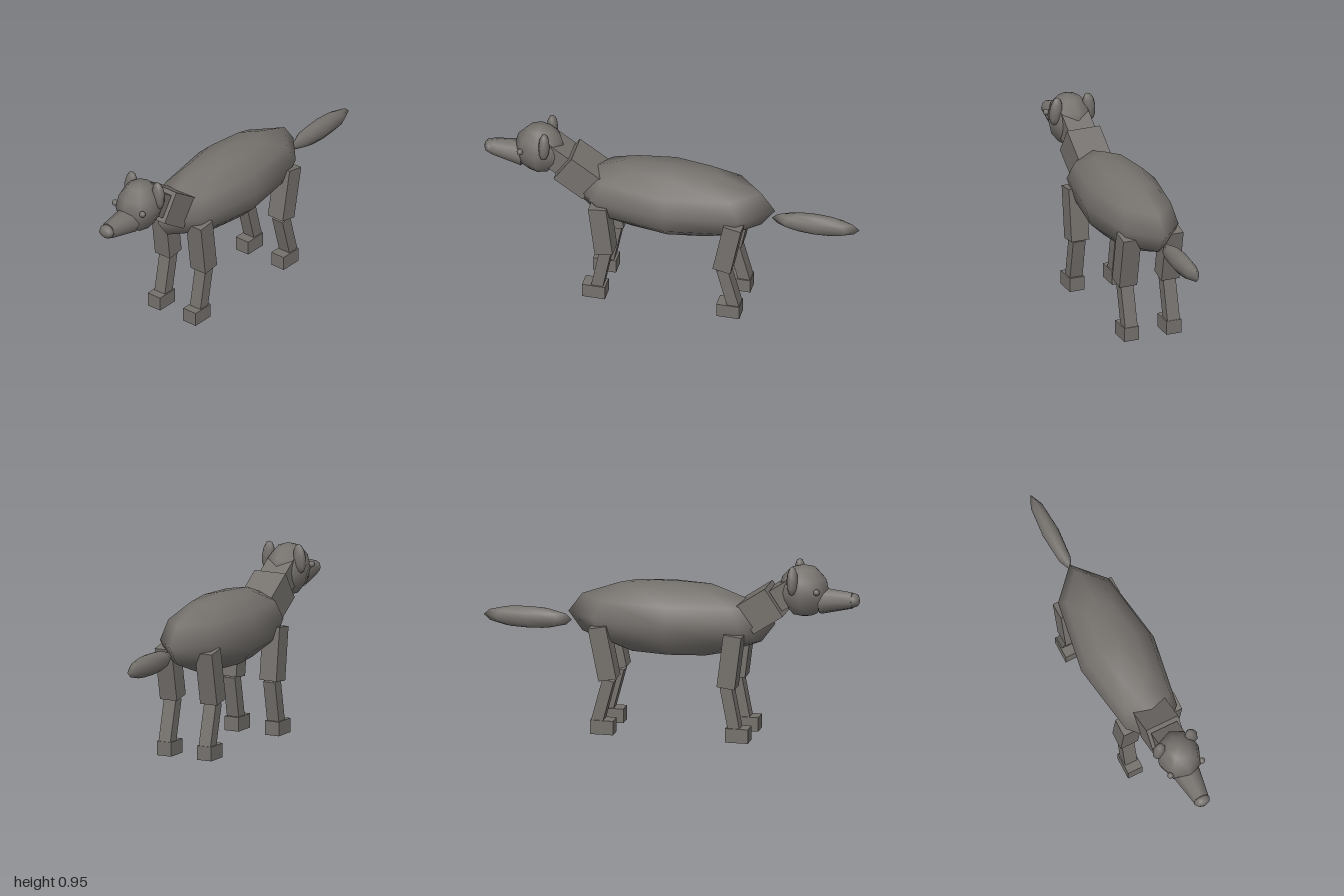
import * as THREE from 'three';

export function createModel() {
  const group = new THREE.Group();
  const fur = new THREE.MeshStandardMaterial({ color: 0x75716d });
  fur.name = 'greyFur';

  const add = (name, geometry, x, y, z, tiltX = 0, tiltZ = 0) => {
    const mesh = new THREE.Mesh(geometry, fur);
    mesh.name = name;
    mesh.position.set(x, y, z);
    mesh.rotation.set(tiltX, 0, tiltZ);
    group.add(mesh);
    return mesh;
  };
  // Coarse ellipsoid with smooth normals
  const blob = (rx, ry, rz) => new THREE.SphereGeometry(1, 8, 6).scale(rx, ry, rz);
  const box = (w, h, d) => new THREE.BoxGeometry(w, h, d);

  // Trunk and tail
  add('body', blob(0.21, 0.2, 0.55), 0, 0.61, 0);
  add('tail', blob(0.045, 0.058, 0.234), 0, 0.563, -0.766);

  // Neck: two boxes leaning forward
  add('lowerNeck', box(0.184, 0.186, 0.172), 0, 0.695, 0.484, 0.98);
  add('upperNeck', box(0.15, 0.12, 0.125), 0, 0.785, 0.617, 0.98);

  // Head, tapered snout and nose
  add('head', blob(0.115, 0.14, 0.134), 0, 0.8, 0.703);
  const snout = new THREE.CylinderGeometry(0.043, 0.072, 0.17, 8);
  add('snout', snout, 0, 0.756, 0.875, Math.PI / 2 - 0.06);
  add('nose', blob(0.045, 0.036, 0.032), 0, 0.762, 0.968);

  for (const side of [1, -1]) {
    const label = side > 0 ? 'left' : 'right';
    // Ears and eyes
    add(label + 'Ear', blob(0.036, 0.077, 0.03), side * 0.093, 0.871, 0.66, 0, side * 0.13);
    add(label + 'Eye', blob(0.017, 0.017, 0.017), side * 0.092, 0.817, 0.789);

    // Legs: thigh, shin and foot
    const x = side * 0.119;
    add(label + 'FrontThigh', box(0.1, 0.284, 0.096), x, 0.433, 0.341, 0.125);
    add(label + 'FrontShin', box(0.07, 0.235, 0.062), x, 0.178, 0.342, -0.19);
    add(label + 'FrontFoot', box(0.083, 0.075, 0.122), x, 0.0375, 0.379);
    add(label + 'RearThigh', box(0.1, 0.284, 0.096), x, 0.436, -0.333, -0.2);
    add(label + 'RearShin', box(0.07, 0.235, 0.062), x, 0.178, -0.335, 0.26);
    add(label + 'RearFoot', box(0.083, 0.075, 0.122), x, 0.0375, -0.337);
  }

  return group;
}
